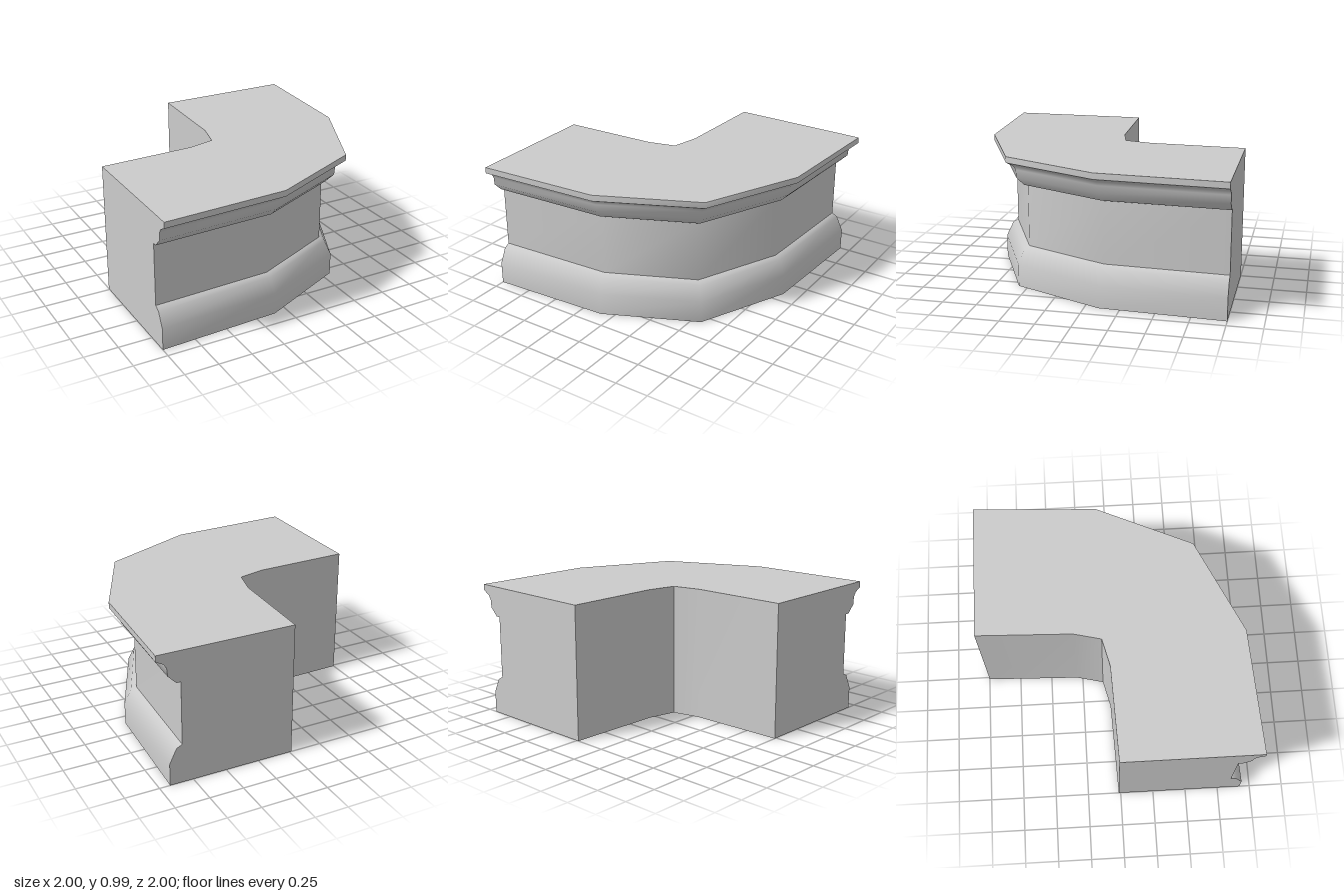
import * as THREE from 'three';

const TOP = 0.985;
// Plan corners [x, z] of the outer rim, with the outward direction at each
const outer = [[-1, 1], [-0.08, 0.952], [0.627, 0.627], [0.952, -0.08], [1, -1]];
const outward = [[0, 1], [0.232, 0.955], [0.707, 0.707], [0.955, 0.232], [1, 0]];
// Plan corners of the inner wall, from the back end round to the side end
const inner = [[-0.015, -1], [-0.04, -0.295], [-0.09, -0.09], [-0.295, -0.04], [-1, -0.015]];

// Profile bands [inset from rim, y], bottom to top; each band is smooth
const bands = {
  baseMoulding: [[0.078, 0], [0.078, 0.165], [0.13, 0.272], [0.172, 0.295]],
  outerWall: [[0.172, 0.295], [0.172, 0.76]],
  corniceSoffit: [[0.172, 0.76], [0.14, 0.76]],
  corniceMoulding: [[0.14, 0.76], [0.08, 0.82], [0.075, 0.88], [0.053, 0.912], [0, 0.94]],
  corniceLip: [[0, 0.94], [0, TOP]],
};

const offset = (d) => outer.map(([x, z], i) => [x - outward[i][0] * d, z - outward[i][1] * d]);

// Smooth skin between stacked rows of points, each row running left to right
function skin(rows) {
  const n = rows[0].length;
  const index = [];
  for (let j = 0; j < rows.length - 1; j++) {
    for (let i = 0; i < n - 1; i++) {
      const a = j * n + i;
      index.push(a, a + 1, a + n + 1, a, a + n + 1, a + n);
    }
  }
  const g = new THREE.BufferGeometry();
  g.setAttribute('position', new THREE.Float32BufferAttribute(rows.flat(2), 3));
  g.setIndex(index);
  g.computeVertexNormals();
  return g;
}

const row = (points, y) => points.map(([x, z]) => [x, y, z]);
const face = (points) =>
  new THREE.ShapeGeometry(new THREE.Shape(points.map(([x, y]) => new THREE.Vector2(x, y))));

export function createModel() {
  const group = new THREE.Group();
  const material = new THREE.MeshStandardMaterial({ color: 0xcccccc });
  const add = (name, geometry) => {
    const mesh = new THREE.Mesh(geometry, material);
    mesh.name = name;
    group.add(mesh);
  };

  // Moulded outer side, swept round the bend
  for (const [name, profile] of Object.entries(bands)) {
    add(name, skin(profile.map(([d, y]) => row(offset(d), y))));
  }

  // Inner wall, in two halves meeting at a sharp corner
  [inner.slice(0, 3), inner.slice(2)].forEach((half, i) =>
    add(i ? 'innerWallSide' : 'innerWallBack', skin([row(half, 0), row(half, TOP)])));

  // Top and bottom faces
  add('topFace', face([...outer, ...inner].map(([x, z]) => [x, -z])).rotateX(-Math.PI / 2).translate(0, TOP, 0));
  add('bottomFace', face([...offset(0.078), ...inner]).rotateX(Math.PI / 2));

  // Flat ends showing the full profile
  const section = Object.values(bands).flatMap((p) => p.slice(0, -1)).map(([d, y]) => [1 - d, y]);
  section.push([1, TOP], [-0.015, TOP], [-0.015, 0]);
  add('backEnd', face(section.map(([x, y]) => [-x, y])).rotateY(Math.PI).translate(0, 0, -1));
  add('sideEnd', face(section).rotateY(-Math.PI / 2).translate(-1, 0, 0));

  return group;
}
